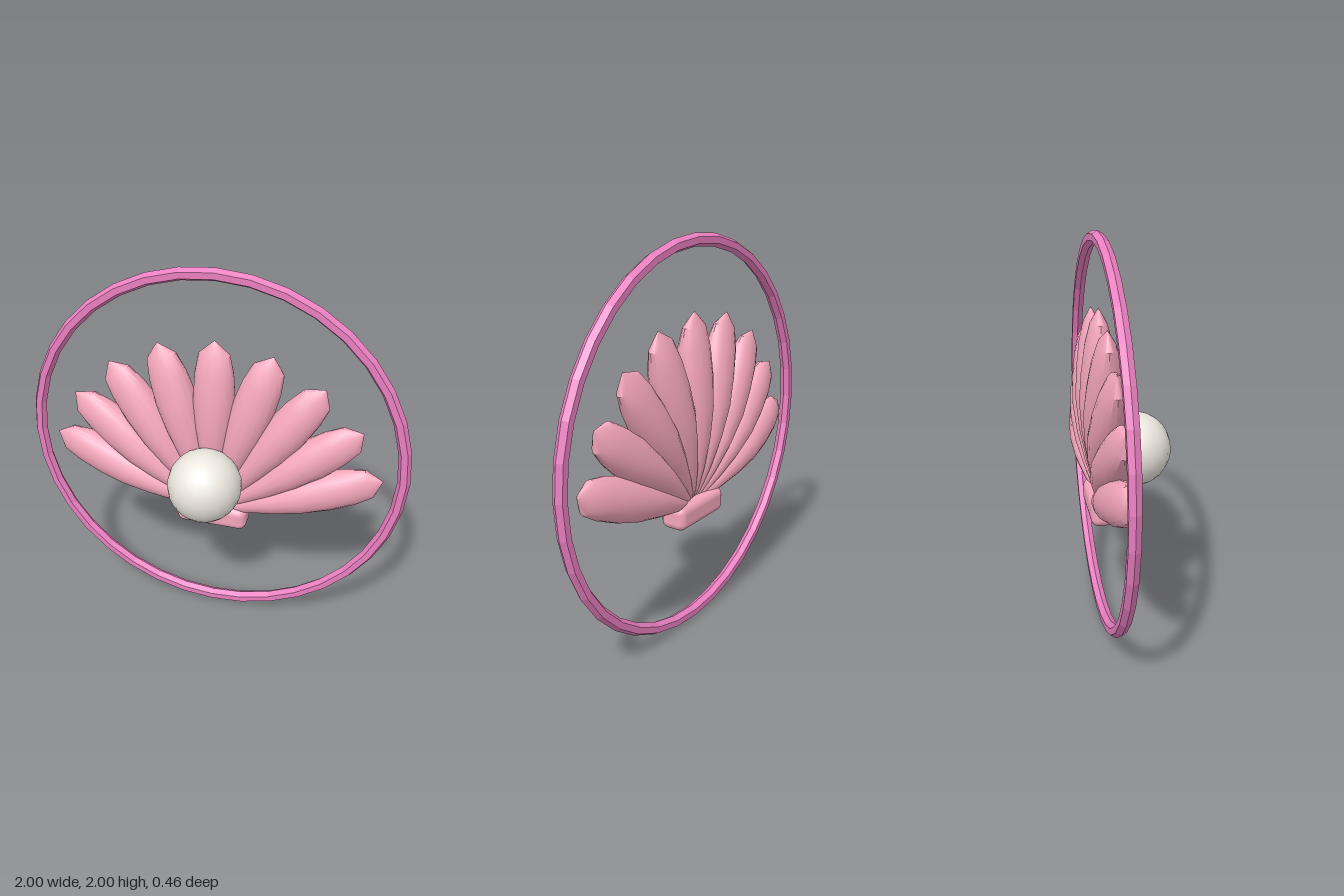
import * as THREE from 'three';
import { toCreasedNormals } from 'three/addons/utils/BufferGeometryUtils.js';
import { RoundedBoxGeometry } from 'three/addons/geometries/RoundedBoxGeometry.js';

const PLANE_Z = -0.13;

// Petal cross-sections: [fraction of length, half width, half depth]
const SECTIONS = [
  [0, 0, 0], [0.1, 0.03, 0.034], [0.2, 0.05, 0.06], [0.37, 0.077, 0.09], [0.53, 0.1, 0.101],
  [0.68, 0.108, 0.09], [0.82, 0.1, 0.07], [0.925, 0.08, 0.042], [1, 0, 0],
];

// Turned petal, flattened section by section toward the tip
function petalGeometry(length) {
  const profile = SECTIONS.map(([t, w]) => new THREE.Vector2(w, t * length));
  const geo = new THREE.LatheGeometry(profile, 16);
  const pos = geo.attributes.position;
  for (let i = 0; i < pos.count; i++) {
    const [, w, d] = SECTIONS[i % SECTIONS.length];
    if (w > 0) pos.setZ(i, pos.getZ(i) * d / w);
  }
  return toCreasedNormals(geo, 0.55);
}

export function createModel() {
  const model = new THREE.Group();
  const pink = new THREE.MeshStandardMaterial({ color: 0xf4a6bc });
  const ringPink = new THREE.MeshStandardMaterial({ color: 0xea7fc0, flatShading: true });
  const pearlWhite = new THREE.MeshStandardMaterial({ color: 0xece7de });

  const add = (name, geo, mat, x, y, z, parent = model) => {
    const mesh = new THREE.Mesh(geo, mat);
    mesh.name = name;
    mesh.position.set(x, y, z);
    parent.add(mesh);
    return mesh;
  };

  // Faceted hoop around the shell
  add('ring', new THREE.TorusGeometry(0.968, 0.032, 6, 36), ringPink, 0, 1, PLANE_Z);

  // Fan of nine petals, slightly shorter toward the sides
  const shell = new THREE.Group();
  shell.name = 'shell';
  model.add(shell);
  for (let i = -4; i <= 4; i++) {
    const petal = add('petal', petalGeometry(0.99 - 0.0035 * i * i), pink, 0, 0.65, PLANE_Z, shell);
    petal.rotation.z = -0.3 * i;
  }

  // Hinge block and pearl
  add('base', new RoundedBoxGeometry(0.38, 0.13, 0.14, 3, 0.04), pink, 0, 0.635, PLANE_Z);
  add('pearl', new THREE.SphereGeometry(0.19, 20, 14), pearlWhite, 0, 0.915, 0.043);

  return model;
}
